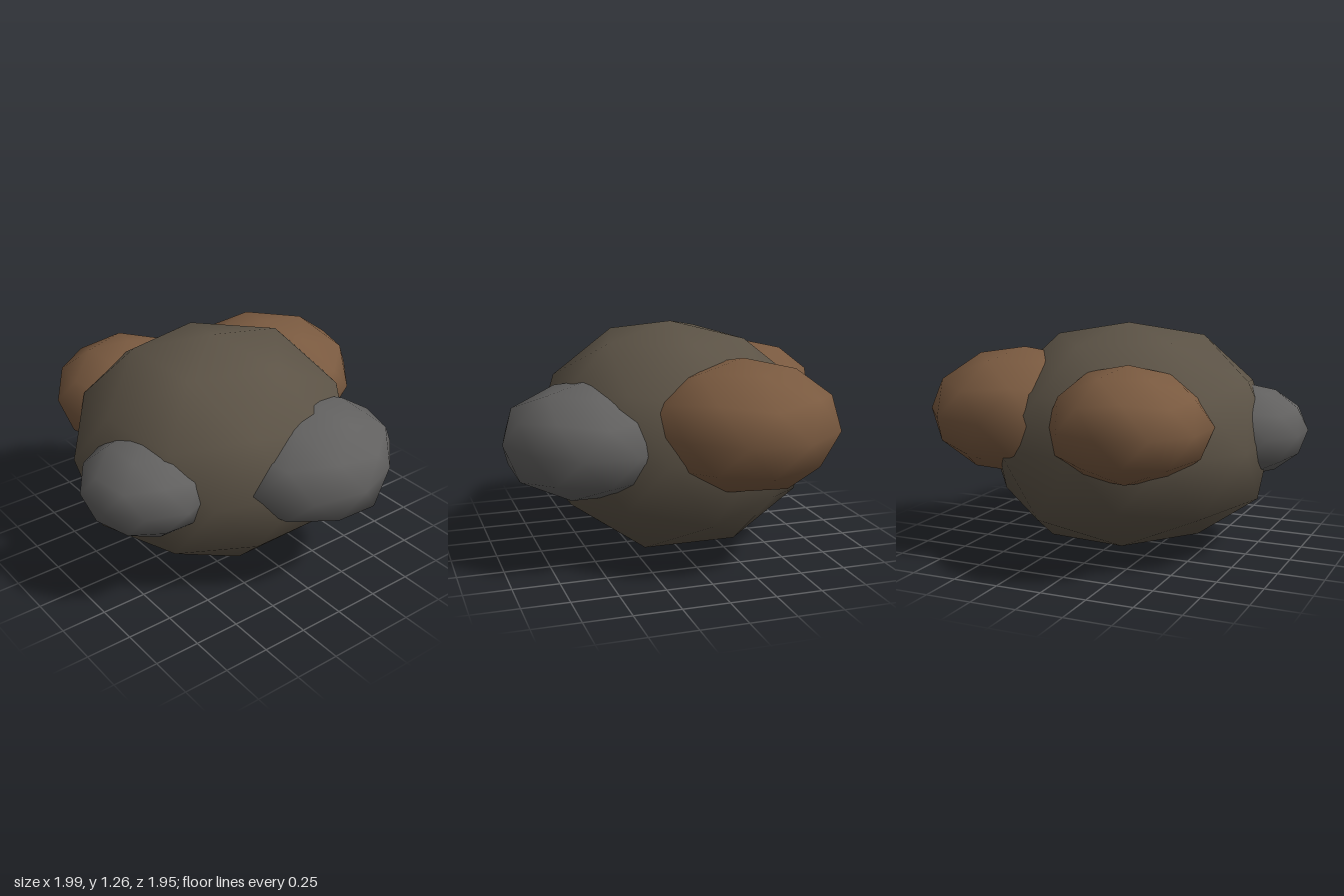
import * as THREE from 'three';
import { mergeVertices } from 'three/addons/utils/BufferGeometryUtils.js';

// Small seeded generator for the uneven surface
function seeded(seed) {
  let s = seed;
  return () => (s = (s * 16807) % 2147483647) / 2147483647;
}

// 42-point sphere with a vertex at each pole and a ten-sided equator
function baseSphere() {
  const geo = new THREE.IcosahedronGeometry(1, 1);
  geo.deleteAttribute('normal');
  geo.deleteAttribute('uv');
  geo.rotateZ(-Math.atan(2 / (1 + Math.sqrt(5))));
  return mergeVertices(geo, 1e-3);
}

// One stone: slightly uneven sphere, squashed in y.
// bumps: [direction x, y, z, radius factor] for the nearest vertex
function stone(name, color, center, radius, height, seed, bumps = []) {
  const geo = baseSphere();
  const pos = geo.attributes.position;
  const rand = seeded(seed);
  const v = new THREE.Vector3();
  const dirs = bumps.map(([x, y, z]) => new THREE.Vector3(x, y, z).normalize());
  for (let i = 0; i < pos.count; i++) {
    v.fromBufferAttribute(pos, i).normalize();
    let f = 1 + (rand() - 0.5) * 0.05;
    if (Math.abs(v.y) > 0.99) f = 1;
    dirs.forEach((d, k) => { if (d.dot(v) > 0.97) f = bumps[k][3]; });
    pos.setXYZ(i, v.x * f * radius, v.y * f * height, v.z * f * radius);
  }
  geo.computeVertexNormals();
  const mesh = new THREE.Mesh(geo, new THREE.MeshStandardMaterial({ color }));
  mesh.name = name;
  mesh.position.set(...center);
  return mesh;
}

// Direction on the equator, in degrees from +x towards +z
const eq = (deg, f) => {
  const a = THREE.MathUtils.degToRad(deg);
  return [Math.cos(a), 0, Math.sin(a), f];
};

export function createModel() {
  const group = new THREE.Group();
  group.name = 'boulderCluster';
  const earth = 0x5c5346, grey = 0x626160, brown = 0x7a5a40;

  group.add(
    // Large central boulder
    stone('mainBoulder', earth, [-0.06, 0.635, -0.03], 0.8, 0.63, 11, [
      [0.851, -0.526, 0, 1.06], [-0.894, -0.447, 0, 1.06],
      [0.425, -0.851, 0.309, 1.05], [0.425, -0.851, -0.309, 1.05],
      [-0.526, -0.851, 0, 1.0], [0.526, 0.851, 0, 1.03],
      [-0.425, 0.851, 0.309, 1.03], [-0.425, 0.851, -0.309, 1.03],
      [0.263, -0.526, -0.809, 1.06],
      eq(18, 1.0), eq(-162, 1.01), eq(126, 0.97), eq(90, 0.98), eq(-90, 0.95),
    ]),
    // Grey stones at the front and right
    stone('frontStone', grey, [0.17, 0.68, 0.5], 0.49, 0.32, 23, [
      eq(18, 1.03), eq(-18, 1.03), eq(54, 0.93), eq(90, 0.96), eq(126, 1.03), eq(162, 1.05),
    ]),
    stone('rightStone', grey, [-0.66, 0.67, 0.2], 0.36, 0.26, 37, [
      eq(162, 1.0), eq(-162, 1.0), eq(90, 1.04), eq(126, 1.0),
    ]),
    // Brown stones at the left and back
    stone('leftStone', brown, [0.47, 0.775, -0.26], 0.535, 0.355, 41, [
      eq(18, 1.02), eq(-18, 1.02), eq(-54, 0.99), eq(54, 0.98), eq(-90, 0.99),
    ]),
    stone('backStone', brown, [-0.28, 0.79, -0.55], 0.43, 0.31, 53, [
      eq(-162, 1.0), eq(162, 1.02), eq(-126, 1.0), eq(-90, 0.99), eq(-54, 0.97),
    ]),
  );
  return group;
}
